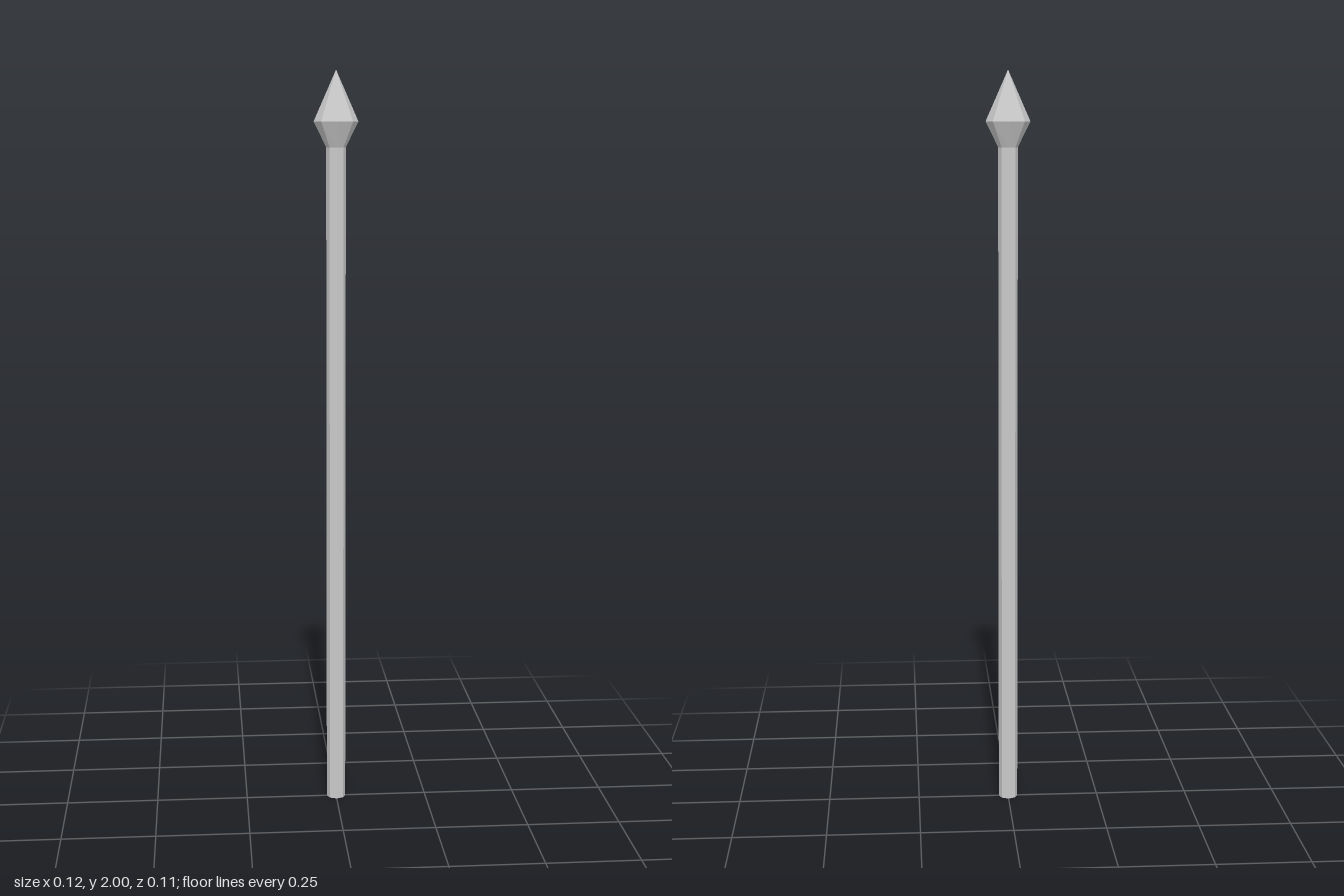
import * as THREE from 'three';

const SIDES = 8;
const SHAFT_RADIUS = 0.026;
const NECK_Y = 1.8;

export function createModel() {
  const model = new THREE.Group();
  model.name = 'spear';
  const material = new THREE.MeshStandardMaterial({ color: 0xcccccc, flatShading: true });

  // Adds an eight-sided turned part from [radius, height] points, bottom to top
  const addTurned = (name, profile) => {
    const points = profile.map(([r, y]) => new THREE.Vector2(r, y));
    const mesh = new THREE.Mesh(new THREE.LatheGeometry(points, SIDES), material);
    mesh.name = name;
    model.add(mesh);
    return mesh;
  };

  // Straight pole with a closed butt
  addTurned('shaft', [[0, 0], [SHAFT_RADIUS, 0], [SHAFT_RADIUS, NECK_Y]]);

  // Pointed head, flaring from the pole and slightly flattened front to back
  const head = addTurned('spearhead', [[SHAFT_RADIUS, NECK_Y], [0.059, 1.867], [0, 2]]);
  const position = head.geometry.attributes.position;
  for (let i = 0; i < position.count; i++) {
    if (position.getY(i) > NECK_Y + 0.01) position.setZ(i, position.getZ(i) * 0.9);
  }
  head.geometry.computeVertexNormals();

  return model;
}
